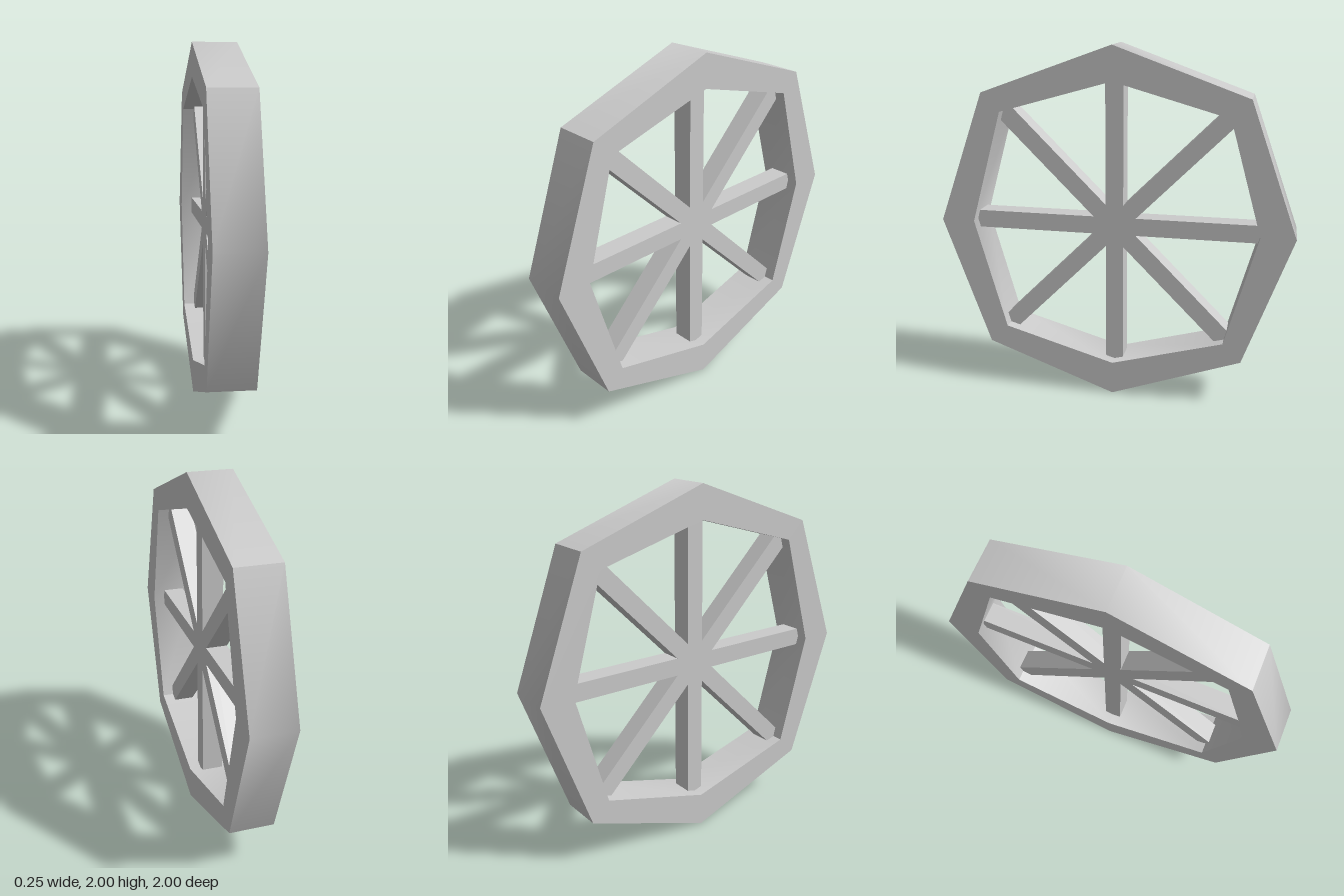
import * as THREE from 'three';
import { toCreasedNormals } from 'three/addons/utils/BufferGeometryUtils.js';

const RIM_WIDTH = 0.25;
const SPOKE_WIDTH = 0.1;
const SPOKE_DEPTH = 0.12;

// Eight corners, alternating between the axes and the diagonals
function octagon(axisRadius, diagonalRadius) {
  return Array.from({ length: 8 }, (_, i) => {
    const r = i % 2 ? diagonalRadius : axisRadius;
    const a = (i * Math.PI) / 4;
    return new THREE.Vector2(r * Math.cos(a), r * Math.sin(a));
  });
}

export function createModel() {
  const group = new THREE.Group();
  group.name = 'spokedWheel';
  const material = new THREE.MeshStandardMaterial({ color: 0xcccccc });

  // Rim: octagonal ring, softly shaded across the shallower corners
  const shape = new THREE.Shape(octagon(1, 0.735 * Math.SQRT2));
  shape.holes.push(new THREE.Path(octagon(0.81, 0.632 * Math.SQRT2)));
  const rimGeometry = new THREE.ExtrudeGeometry(shape, { depth: RIM_WIDTH, bevelEnabled: false });
  rimGeometry.translate(0, 0, -RIM_WIDTH / 2);
  rimGeometry.rotateY(Math.PI / 2);
  const rim = new THREE.Mesh(toCreasedNormals(rimGeometry, Math.PI / 4), material);
  rim.name = 'rim';
  rim.position.y = 1;
  group.add(rim);

  // Spokes: four bars crossing at the centre, their ends sunk into the rim
  const spokes = new THREE.Group();
  spokes.name = 'spokes';
  spokes.position.y = 1;
  for (let i = 0; i < 4; i++) {
    const length = i % 2 ? 1.86 : 1.7;
    const spoke = new THREE.Mesh(new THREE.BoxGeometry(SPOKE_DEPTH, length, SPOKE_WIDTH), material);
    spoke.name = `spoke${i + 1}`;
    spoke.rotation.x = (i * Math.PI) / 4;
    spokes.add(spoke);
  }
  group.add(spokes);

  return group;
}
